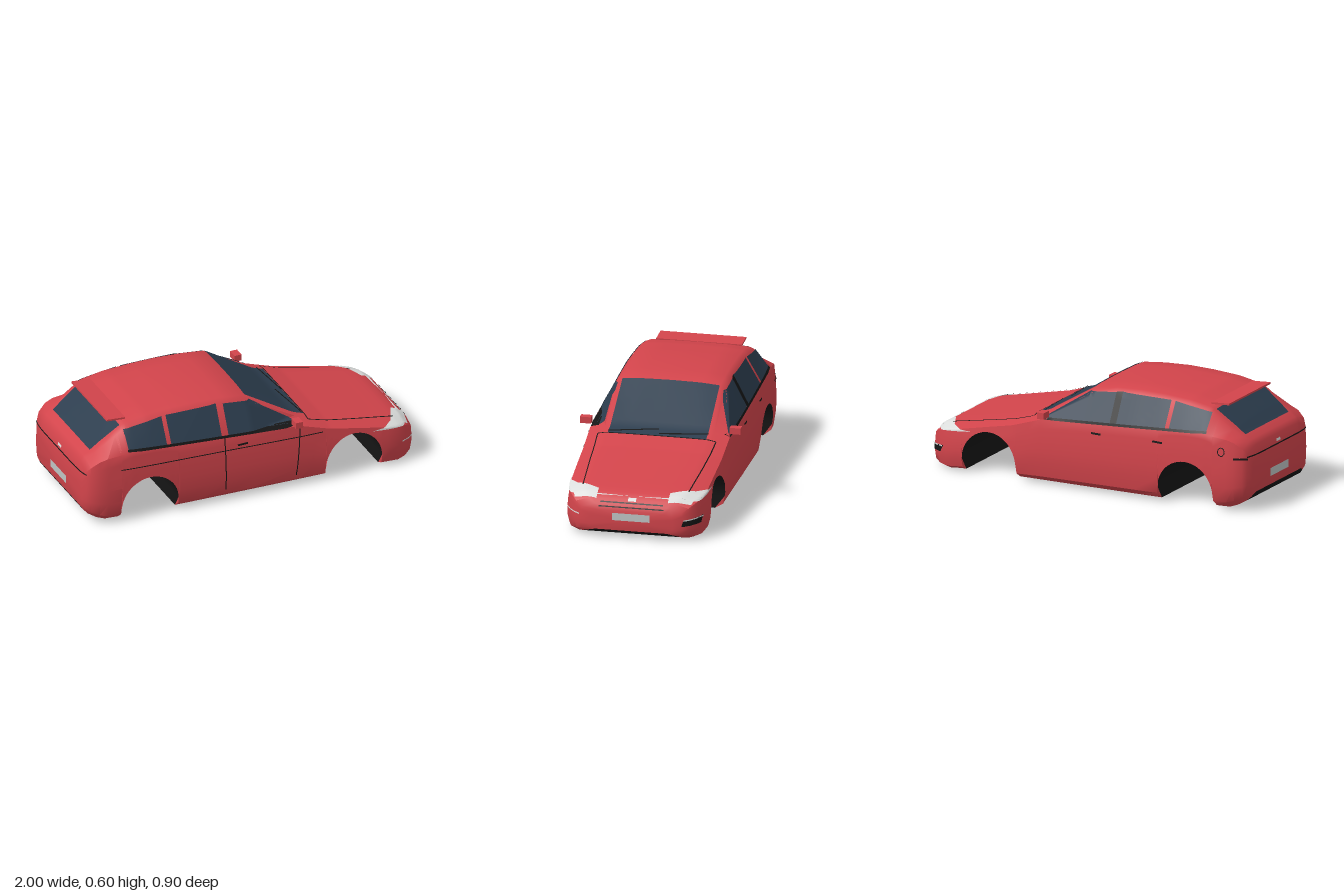
import * as THREE from 'three';
import { toCreasedNormals } from 'three/addons/utils/BufferGeometryUtils.js';

const material = (name, color, side = THREE.DoubleSide) => {
  const m = new THREE.MeshStandardMaterial({ color, side });
  m.name = name;
  return m;
};

// Body stations: x, top height, belt height, half width, floor height
const STATIONS = [
  [-1, 0.3, 0.27, 0.31, 0.1], [-0.985, 0.36, 0.325, 0.345, 0.075], [-0.965, 0.39, 0.355, 0.368, 0.055],
  [-0.92, 0.412, 0.39, 0.387, 0.03], [-0.875, 0.45, 0.405, 0.395, 0.015], [-0.74, 0.553, 0.42, 0.402, 0.013],
  [-0.61, 0.58, 0.417, 0.404, 0.013], [-0.45, 0.593, 0.41, 0.405, 0.013], [-0.3, 0.598, 0.403, 0.406, 0.013],
  [-0.15, 0.592, 0.396, 0.406, 0.013], [-0.02, 0.578, 0.389, 0.406, 0.013], [0.27, 0.395, 0.368, 0.405, 0.013],
  [0.34, 0.372, 0.345, 0.404, 0.013], [0.45, 0.337, 0.31, 0.403, 0.013], [0.6, 0.306, 0.28, 0.4, 0.012],
  [0.79, 0.268, 0.24, 0.395, 0.008], [0.86, 0.255, 0.228, 0.384, 0], [0.91, 0.242, 0.215, 0.365, 0.008],
  [0.955, 0.215, 0.19, 0.325, 0.022], [0.975, 0.19, 0.165, 0.29, 0.034], [0.988, 0.16, 0.14, 0.235, 0.047],
];
const ARCHES = [{ x: -0.628, r: 0.167 }, { x: 0.587, r: 0.167 }];
const ARCH_Y = 0.085;

// Linear lookup in rows sorted by their first entry
function lookup(rows, x) {
  let i = 1;
  while (i < rows.length - 1 && rows[i][0] < x) i++;
  const a = rows[i - 1], b = rows[i];
  const t = THREE.MathUtils.clamp((x - a[0]) / (b[0] - a[0]), 0, 1);
  return a.map((v, k) => v + (b[k] - v) * t);
}

// Cut heights along the car: plain floor plus the round wheel openings
function cuts() {
  const list = STATIONS.filter(s => ARCHES.every(a => Math.abs(s[0] - a.x) > a.r + 0.003))
    .map(s => ({ x: s[0], low: s[4] }));
  for (const a of ARCHES) {
    for (const s of [-1, 1]) {
      const x = a.x + s * (a.r + 0.002);
      list.push({ x, low: lookup(STATIONS, x)[4] });
    }
    for (let i = 0; i <= 24; i++) {
      const t = Math.PI * i / 24;
      list.push({ x: a.x - a.r * Math.cos(t), low: ARCH_Y + a.r * Math.sin(t) });
    }
  }
  return list.sort((p, q) => p.x - q.x);
}

// One cross-section, from the left lower edge over the top to the right lower edge
function section({ x, low }) {
  const [, top, belt, w, floor] = lookup(STATIONS, x);
  const h = belt - floor;
  const flank = [[0, 0.85], [0.09, 0.962], [0.3, 0.995], [0.52, 1], [0.76, 0.99], [1, 0.965]];
  const half = [0, 0.09, 0.3, 0.5, 0.7, 0.86, 1].map(t => {
    const y = low + (belt - low) * t;
    return [w * lookup(flank, (y - floor) / h)[1], y];
  });
  const k = w / 0.405, rise = top - belt;
  half.push([0.305 * k, top - 0.15 * rise], [0.275 * k, top - 0.06 * rise], [0.165 * k, top - 0.012 * rise]);
  const other = half.map(([z, y]) => [-z, y]).reverse();
  return [...half, [0, top], ...other].map(([z, y]) => [x, y, z]);
}

function geometry(points, index) {
  const g = new THREE.BufferGeometry();
  g.setAttribute('position', new THREE.Float32BufferAttribute(points.flat(), 3));
  g.setIndex(index);
  return g;
}

function bodyGeometry(rings) {
  const n = rings[0].length, points = rings.flat(), index = [];
  for (let i = 0; i < rings.length - 1; i++) {
    for (let k = 0; k < n - 1; k++) {
      const a = i * n + k, b = a + n;
      index.push(a, b, b + 1, a, b + 1, a + 1);
    }
  }
  // Close the nose and the tail
  [[0, false], [rings.length - 1, true]].forEach(([r, front]) => {
    const c = points.length;
    points.push([rings[r][0][0], (rings[r][0][1] + rings[r][10][1]) / 2, 0]);
    for (let k = 0; k < n; k++) {
      const a = r * n + k, b = r * n + (k + 1) % n;
      index.push(c, ...(front ? [b, a] : [a, b]));
    }
  });
  return toCreasedNormals(geometry(points, index), 0.75);
}

function underbodyGeometry(rings) {
  const points = [], index = [];
  rings.forEach((r, i) => {
    points.push(r[0], r[r.length - 1]);
    if (i) index.push(2 * i - 2, 2 * i - 1, 2 * i, 2 * i - 1, 2 * i + 1, 2 * i);
  });
  return toCreasedNormals(geometry(points, index), 0.5);
}

export function createModel() {
  const car = new THREE.Group();
  car.name = 'car';
  const red = material('red paint', 0xd2444b, THREE.FrontSide);
  const black = material('black trim', 0x161616);
  const glass = material('dark glass', 0x2c3d4e);
  const lamp = material('lamp white', 0xdcdedd);
  const grey = material('plate grey', 0xbfc4c4);

  const add = (name, geo, mat) => {
    const mesh = new THREE.Mesh(geo, mat);
    mesh.name = name;
    car.add(mesh);
    return mesh;
  };
  const rings = cuts().map(section);
  const body = add('body', bodyGeometry(rings), red);
  add('underbody', underbodyGeometry(rings), black);

  // Drop a flat point onto the body from one side
  const caster = new THREE.Raycaster();
  const sides = {
    front: (u, v) => [[2, v, u], [-1, 0, 0]],
    rear: (u, v) => [[-2, v, u], [1, 0, 0]],
    left: (u, v) => [[u, v, 2], [0, 0, -1]],
    right: (u, v) => [[u, v, -2], [0, 0, 1]],
    top: (u, v) => [[u, 2, v], [0, -1, 0]],
  };
  function drop(side, u, v, lift) {
    for (let i = 0; i < 60; i++, u *= 0.985, v *= 0.985) {
      const [o, d] = sides[side](u, v);
      caster.set(new THREE.Vector3(...o), new THREE.Vector3(...d));
      const hit = caster.intersectObject(body)[0];
      if (hit) return hit.point.addScaledVector(hit.face.normal, lift).toArray();
    }
    return [0, 0.2, 0];
  }
  // Thin plate over a four-cornered area
  function patch(name, side, [a, b, c, d], mat, nu = 10, nv = 10, lift = 0.004) {
    const points = [], index = [];
    const mix = (p, q, t) => [p[0] + (q[0] - p[0]) * t, p[1] + (q[1] - p[1]) * t];
    for (let j = 0; j <= nv; j++) {
      for (let i = 0; i <= nu; i++) {
        points.push(drop(side, ...mix(mix(a, b, i / nu), mix(d, c, i / nu), j / nv), lift));
        if (i && j) {
          const q = j * (nu + 1) + i, p = q - nu - 1;
          index.push(p - 1, p, q, p - 1, q, q - 1);
        }
      }
    }
    const g = geometry(points, index);
    g.computeVertexNormals();
    add(name, g, mat);
  }
  // Thin line along a path
  function line(name, side, path, width = 0.006, mat = black, lift = 0.005) {
    for (let i = 1; i < path.length; i++) {
      const [p, q] = [path[i - 1], path[i]];
      const l = Math.hypot(q[0] - p[0], q[1] - p[1]);
      const nx = -(q[1] - p[1]) / l * width / 2, ny = (q[0] - p[0]) / l * width / 2;
      patch(name, side, [[p[0] - nx, p[1] - ny], [q[0] - nx, q[1] - ny], [q[0] + nx, q[1] + ny], [p[0] + nx, p[1] + ny]],
        mat, Math.max(1, Math.ceil(l / 0.04)), 1, lift);
    }
  }
  const box = (u, v, w, h) => [[u - w / 2, v - h / 2], [u + w / 2, v - h / 2], [u + w / 2, v + h / 2], [u - w / 2, v + h / 2]];

  // Glass
  patch('windscreen', 'top', [[-0.016, -0.272], [0.335, -0.275], [0.335, 0.275], [-0.016, 0.272]], glass, 14, 12);
  patch('rearWindow', 'top', [[-0.925, -0.25], [-0.755, -0.268], [-0.755, 0.268], [-0.925, 0.25]], glass, 12, 12);
  for (const side of ['left', 'right']) {
    patch('rearQuarterWindow', side, [[-0.75, 0.427], [-0.525, 0.42], [-0.525, 0.56], [-0.75, 0.526]], glass);
    patch('rearDoorWindow', side, [[-0.5, 0.418], [-0.2, 0.405], [-0.2, 0.566], [-0.5, 0.562]], glass);
    patch('frontDoorWindow', side, [[-0.16, 0.403], [0, 0.395], [0, 0.545], [-0.16, 0.56]], glass);
    patch('frontDoorWindow', side, [[0, 0.395], [0.24, 0.378], [0.245, 0.385], [0, 0.545]], glass);
    line('windowSeal', side, [[-0.755, 0.428], [0.26, 0.376]], 0.012);
    line('doorHandle', side, [[-0.11, 0.336], [-0.05, 0.338]], 0.011);
  }
  patch('centrePillar', 'right', [[-0.2, 0.405], [-0.16, 0.403], [-0.16, 0.562], [-0.2, 0.566]], black, 2, 8);
  line('rearDoorHandle', 'right', [[-0.49, 0.34], [-0.43, 0.342]], 0.011);

  // Door gaps, side crease line and fuel flap
  line('rearDoorGap', 'left', [[-0.185, 0.395], [-0.18, 0.075]]);
  line('frontDoorGap', 'left', [[0.265, 0.365], [0.255, 0.25], [0.24, 0.075]]);
  line('sideLine', 'left', [[-0.8, 0.328], [-0.2, 0.318], [0.4, 0.304]], 0.005);
  const flap = Array.from({ length: 17 }, (_, i) => [-0.85 + 0.02 * Math.cos(i * Math.PI / 8), 0.335 + 0.023 * Math.sin(i * Math.PI / 8)]);
  line('fuelFlap', 'right', flap, 0.005);

  // Bonnet gaps and wipers
  for (const s of [-1, 1]) {
    line('bonnetGap', 'top', [[0.34, s * 0.33], [0.6, s * 0.315], [0.86, s * 0.295]]);
    patch('headlight', 'top', [[0.89, s * 0.2], [0.957, s * 0.2], [0.935, s * 0.325], [0.81, s * 0.375]], lamp);
    patch('headlightSide', s > 0 ? 'left' : 'right', [[0.7, 0.238], [0.945, 0.213], [0.93, 0.232], [0.83, 0.246]], lamp);
  }
  line('cowlGap', 'top', [[0.338, -0.33], [0.338, 0.33]]);
  line('wiper', 'top', [[0.325, 0.275], [0.285, 0]], 0.009, black, 0.009);
  line('wiper', 'top', [[0.325, -0.01], [0.295, -0.28]], 0.009, black, 0.009);

  // Nose
  patch('frontPlate', 'front', box(0, 0.126, 0.21, 0.042), grey, 6, 4);
  patch('noseTrim', 'front', box(0, 0.215, 0.045, 0.014), lamp, 2, 2);
  line('grilleLine', 'front', [[-0.175, 0.199], [0.175, 0.199]]);
  line('grilleLine', 'front', [[-0.183, 0.178], [0.183, 0.178]]);
  patch('fogLampRecess', 'front', [[-0.28, 0.09], [-0.37, 0.098], [-0.377, 0.137], [-0.29, 0.125]], black, 6, 4);
  line('fogLampStrip', 'front', [[-0.29, 0.125], [-0.375, 0.133]], 0.007, lamp, 0.008);
  line('fogLampStrip', 'front', [[0.29, 0.125], [0.375, 0.133]], 0.007, lamp);

  // Tail
  patch('rearPlate', 'rear', box(0, 0.17, 0.21, 0.045), grey, 4, 3);
  line('tailgateGap', 'rear', [[-0.34, 0.31], [0.34, 0.31]], 0.007);
  patch('tailTrim', 'rear', box(0, 0.33, 0.045, 0.014), lamp, 2, 2);
  line('cornerTrim', 'right', [[-0.985, 0.3], [-0.92, 0.302]], 0.011);

  // Spoiler and mirrors
  const spoiler = add('spoiler', new THREE.BoxGeometry(0.11, 0.01, 0.48), red);
  spoiler.position.set(-0.765, 0.56, 0);
  spoiler.rotation.z = -0.06;
  for (const s of [-1, 1]) {
    add('mirror', new THREE.BoxGeometry(0.042, 0.036, 0.062), red).position.set(0.238, 0.407, s * 0.419);
  }
  return car;
}
